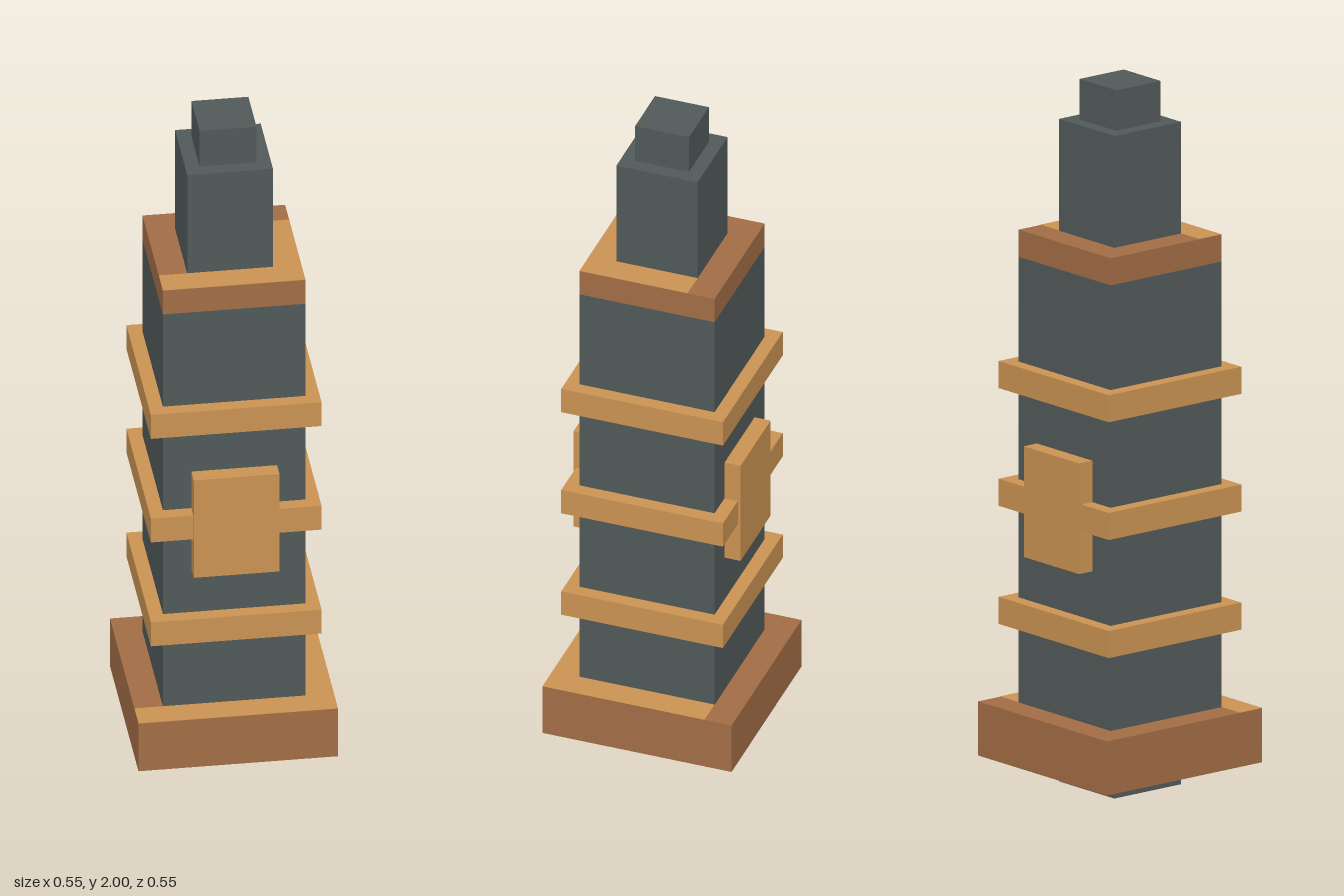
import * as THREE from 'three';

const mat = (name, color) => new THREE.MeshStandardMaterial({ name, color });

export function createModel() {
  const stone = mat('dark stone', 0x515a59);
  const copper = mat('copper brown', 0xa26d46);
  const brass = mat('pale brass', 0xca9352);
  const model = new THREE.Group();
  model.name = 'tower';

  // Box given by its lower and upper limits on each axis
  const box = (parent, name, material, x0, x1, y0, y1, z0, z1) => {
    const mesh = new THREE.Mesh(new THREE.BoxGeometry(x1 - x0, y1 - y0, z1 - z0), material);
    mesh.position.set((x0 + x1) / 2, (y0 + y1) / 2, (z0 + z1) / 2);
    mesh.name = name;
    parent.add(mesh);
  };
  // Square block centred on the axis
  const block = (parent, name, material, half, y0, y1) =>
    box(parent, name, material, -half, half, y0, y1, -half, half);

  // Copper block whose front and left top ledges are inlaid in brass
  const ledgeBlock = (name, half, inner, y0, y1) => {
    const group = new THREE.Group();
    group.name = name;
    block(group, name + 'Block', copper, half, y0, y1);
    box(group, name + 'FrontInlay', brass, -half, half, y1, y1 + 0.001, inner, half);
    box(group, name + 'SideInlay', brass, inner, half, y1, y1 + 0.001, -inner, inner);
    model.add(group);
  };

  // Stone core, stepped towards the top
  block(model, 'foot', stone, 0.119, 0, 0.07);
  block(model, 'shaft', stone, 0.198, 0.22, 1.49);
  block(model, 'upperShaft', stone, 0.119, 1.565, 1.885);
  block(model, 'tip', stone, 0.079, 1.885, 2);

  // Base and collar
  ledgeBlock('base', 0.277, 0.198, 0.068, 0.222);
  ledgeBlock('collar', 0.198, 0.119, 1.49, 1.567);

  // Brass bands round the shaft
  for (const y of [0.444, 0.78, 1.115]) block(model, 'band', brass, 0.237, y, y + 0.077);

  // Plaques on front and back
  box(model, 'frontPlaque', brass, -0.119, 0.119, 0.66, 0.975, 0.198, 0.245);
  box(model, 'backPlaque', brass, -0.119, 0.119, 0.66, 0.975, -0.245, -0.198);

  return model;
}
